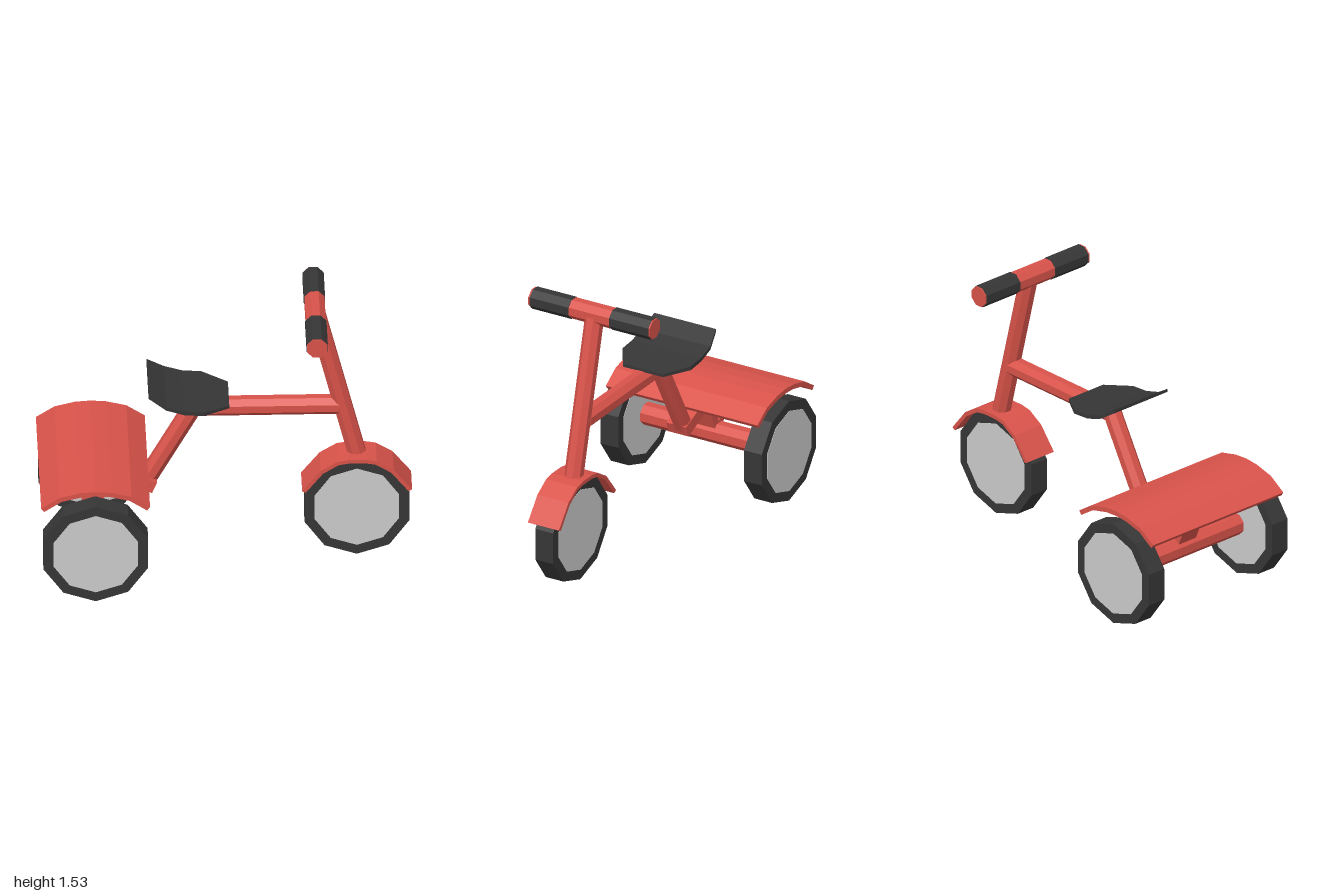
import * as THREE from 'three';

const mat = (color) => new THREE.MeshStandardMaterial({ color, flatShading: true });
const red = mat(0xd9534a), dark = mat(0x363636), grey = mat(0xcccccc);
const V = (x, y, z) => new THREE.Vector3(x, y, z);

export function createModel() {
  const model = new THREE.Group();
  const FZ = -0.015; // centre plane of the frame

  const add = (name, geometry, material) => {
    const mesh = new THREE.Mesh(geometry, material);
    mesh.name = name;
    model.add(mesh);
    return mesh;
  };

  // Place a y-aligned geometry between two points
  const span = (mesh, a, b) => {
    mesh.position.copy(a).add(b).multiplyScalar(0.5);
    mesh.quaternion.setFromUnitVectors(V(0, 1, 0), b.clone().sub(a).normalize());
    return mesh;
  };

  // Eight-sided tube; r is the half width across the flats
  const tube = (name, a, b, r, material = red) => {
    const R = r / Math.cos(Math.PI / 8);
    const g = new THREE.CylinderGeometry(R, R, a.distanceTo(b), 8, 1, false, Math.PI / 8);
    return span(add(name, g, material), a, b);
  };

  // Flat bar between two points
  const bar = (name, a, b, thick, width) =>
    span(add(name, new THREE.BoxGeometry(thick, a.distanceTo(b), width), red), a, b);

  // Curved sheet: top profile thickened towards a centre point, extruded along z
  const fender = (name, top, centre, thick, width, z) => {
    const c = new THREE.Vector2(...centre);
    const outer = top.map((p) => new THREE.Vector2(...p));
    const inner = outer.map((p) => p.clone().add(c.clone().sub(p).setLength(thick))).reverse();
    const g = new THREE.ExtrudeGeometry(new THREE.Shape([...outer, ...inner]), { depth: width, bevelEnabled: false });
    g.translate(0, 0, z - width / 2);
    add(name, g, red);
  };

  // Wheels: ten-sided tyre with a flush disc on both sides
  const wheel = (name, x, z) => {
    const group = new THREE.Group();
    group.name = name;
    const part = (n, r, w, m) => {
      const mesh = new THREE.Mesh(new THREE.CylinderGeometry(r, r, w, 10).rotateX(Math.PI / 2), m);
      mesh.name = n;
      group.add(mesh);
    };
    part('tyre', 0.295, 0.112, dark);
    part('disc', 0.238, 0.116, grey);
    group.position.set(x, 0.295, z);
    model.add(group);
  };
  wheel('frontWheel', 0.705, 0);
  wheel('rearLeftWheel', -0.708, 0.45);
  wheel('rearRightWheel', -0.708, -0.45);

  // Fenders
  fender('rearFender', [[-1, 0.56], [-0.9, 0.625], [-0.79, 0.652], [-0.708, 0.658], [-0.625, 0.652],
    [-0.515, 0.625], [-0.416, 0.56]], [-0.708, 0.15], 0.027, 0.95, -0.01);
  fender('frontFender', [[0.41, 0.42], [0.51, 0.545], [0.6, 0.6], [0.66, 0.61], [0.75, 0.61],
    [0.81, 0.6], [0.9, 0.545], [1, 0.42]], [0.705, 0.25], 0.022, 0.195, -0.003);

  // Frame
  tube('steeringTube', V(0.487, 1.475, FZ), V(0.712, 0.575, FZ), 0.048);
  tube('topTube', V(-0.17, 0.898, FZ), V(0.61, 0.898, FZ), 0.05);
  tube('downTube', V(-0.15, 0.935, FZ), V(-0.42, 0.45, FZ), 0.048);
  tube('rearAxle', V(-0.708, 0.297, -0.41), V(-0.708, 0.297, 0.41), 0.058);
  bar('bracket', V(-0.38, 0.432, -0.005), V(-0.62, 0.53, -0.005), 0.068, 0.125);
  for (const s of [-1, 1]) {
    bar('fenderStrut', V(-0.708, 0.297, -0.005), V(-0.708 + s * 0.135, 0.625, -0.005), 0.048, 0.125);
  }

  // Handlebar and grips
  const bx = 0.483, by = 1.478;
  tube('handlebar', V(bx, by, -0.388), V(bx, by, 0.373), 0.054);
  tube('rightGrip', V(bx, by, -0.38), V(bx, by, -0.135), 0.057, dark);
  tube('leftGrip', V(bx, by, 0.12), V(bx, by, 0.363), 0.057, dark);

  // Seat: cross-sections of [x, top, bottom, half width], from tail to nose
  const sections = [[-0.415, 1.07, 1.052, 0.193], [-0.32, 1.01, 0.99, 0.215], [-0.225, 0.982, 0.96, 0.215],
    [-0.12, 0.974, 0.952, 0.215], [0.02, 0.961, 0.945, 0.125]];
  const pos = [], index = [], sz = -0.033;
  for (const [x, t, b, w] of sections) pos.push(x, t, sz - w, x, t, sz + w, x, b, sz + w, x, b, sz - w);
  const quad = (a, b, c, d) => index.push(a, b, c, a, c, d);
  for (let i = 0; i < sections.length - 1; i++) {
    for (let k = 0; k < 4; k++) {
      const a = i * 4 + k, b = i * 4 + ((k + 1) % 4);
      quad(a, b, b + 4, a + 4);
    }
  }
  const e = (sections.length - 1) * 4;
  quad(3, 2, 1, 0);
  quad(e, e + 1, e + 2, e + 3);
  const seat = new THREE.BufferGeometry();
  seat.setAttribute('position', new THREE.Float32BufferAttribute(pos, 3));
  seat.setIndex(index);
  seat.computeVertexNormals();
  add('seat', seat, dark);

  return model;
}
